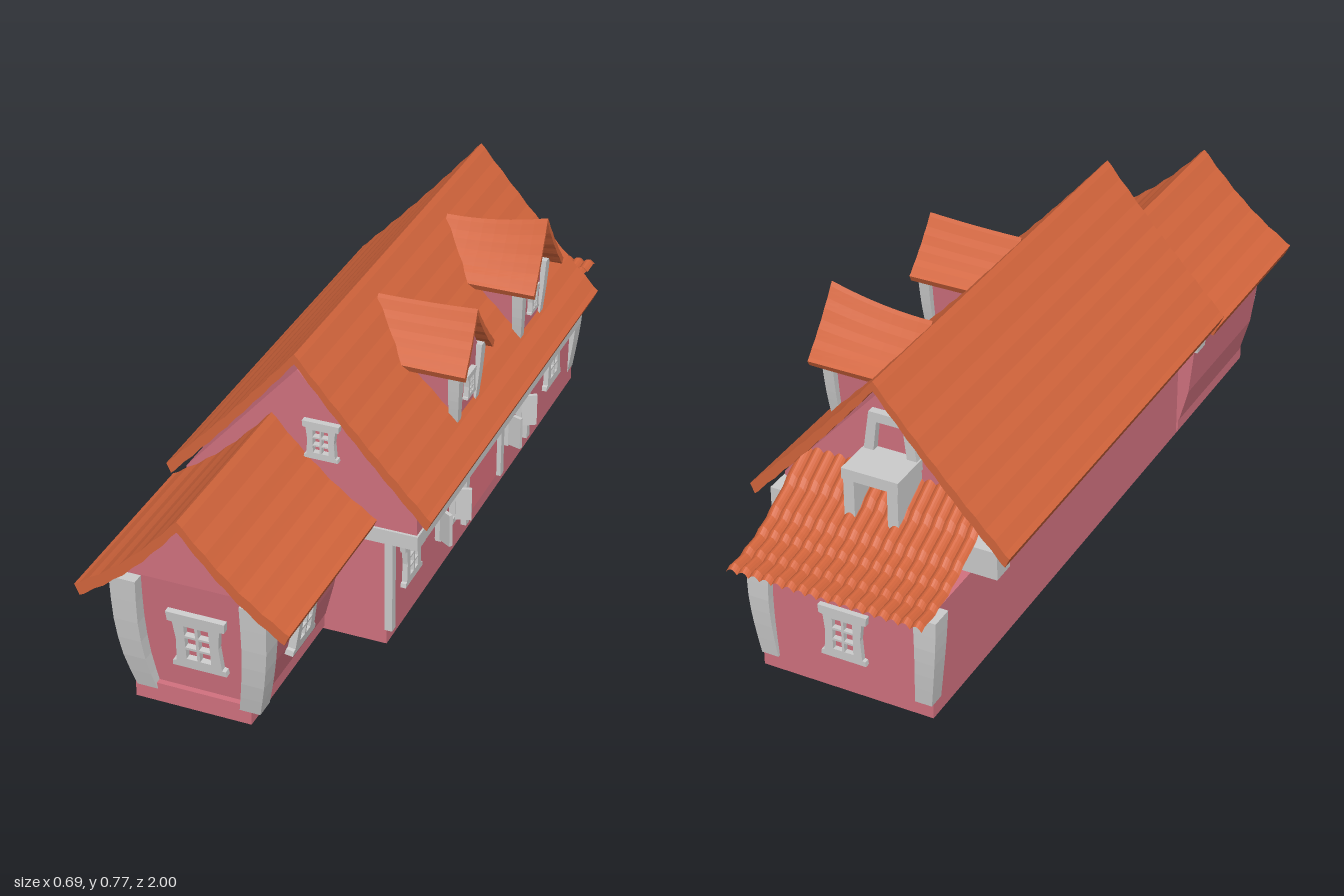
import * as THREE from 'three';

const mat = (color, extra = {}) => new THREE.MeshStandardMaterial({ color, ...extra });

export function createModel() {
  const house = new THREE.Group();
  house.name = 'house';
  const pink = mat(0xd1717f), doorPink = mat(0xe0727f), tile = mat(0xd3653c), grey = mat(0xcccccc);
  const sheet = mat(0xd3653c, { side: THREE.DoubleSide, flatShading: true });

  const add = (name, geo, material, parent = house) => {
    const m = new THREE.Mesh(geo, material);
    m.name = name;
    parent.add(m);
    return m;
  };
  // Box given by its limits
  const box = (name, x0, x1, y0, y1, z0, z1, material, parent) =>
    add(name, new THREE.BoxGeometry(x1 - x0, y1 - y0, z1 - z0)
      .translate((x0 + x1) / 2, (y0 + y1) / 2, (z0 + z1) / 2), material, parent);
  const outline = (pts) => new THREE.Shape(pts.map((p) => new THREE.Vector2(...p)));
  const prism = (pts, z0, z1, steps = 1) => new THREE.ExtrudeGeometry(outline(pts),
    { depth: z1 - z0, bevelEnabled: false, steps }).translate(0, 0, z0);
  const moveVertices = (geo, rule) => {
    const p = geo.attributes.position, v = new THREE.Vector3();
    for (let i = 0; i < p.count; i++) {
      v.fromBufferAttribute(p, i);
      rule(v);
      p.setXYZ(i, v.x, v.y, v.z);
    }
    geo.computeVertexNormals();
    return geo;
  };

  // Section of a gable roof: concave slopes with a slight wave for the tile rows
  const roofSection = (cx, ridge, eave, half, sag, thick, rows) => {
    const n = rows * 4, top = [], under = [];
    for (let i = -n; i <= n; i++) {
      const s = Math.abs(i) / n;
      const y = ridge + (eave - ridge) * s - sag * Math.sin(Math.PI * s) +
        0.07 * thick * Math.sin(s * rows * Math.PI * 2);
      top.push([cx + (i / n) * half, y]);
      under.push([cx + (i / n) * (half - thick * 0.45), y - thick]);
    }
    return [...under, ...top.reverse()];
  };

  // Post bent along a path of [x, y, z] centres, growing from size a to size b
  const bentPost = (name, path, a, b, parent) => {
    const curve = new THREE.CatmullRomCurve3(path.map((p) => new THREE.Vector3(...p)));
    const geo = new THREE.BoxGeometry(1, 1, 1, 1, 6, 1).toNonIndexed();
    moveVertices(geo, (v) => {
      const t = v.y + 0.5, w = a + (b - a) * t, c = curve.getPoint(t);
      v.set(c.x + v.x * w, c.y, c.z + v.z * w);
    });
    return add(name, geo, grey, parent);
  };

  // Window frame with waisted jambs, broad sill and lintel, and six panes
  const windowFrame = (name, w, h, x, y, z, turn = 0, tilt = 0, parent = house) => {
    const a = w / 2, b = h / 2;
    const right = [[a * 0.93, -b], [a * 0.9, -b * 0.82], [a * 0.78, -b * 0.8], [a * 0.72, 0],
      [a * 0.8, b * 0.66], [a * 0.97, b * 0.68], [a, b]];
    const shape = outline([...right, ...right.map(([px, py]) => [-px, py]).reverse()]);
    for (const sx of [-1, 1]) for (let r = 0; r < 3; r++) {
      const x0 = sx * a * 0.05, x1 = sx * a * 0.42;
      const y0 = b * (-0.66 + r * 0.44), y1 = y0 + b * 0.36;
      shape.holes.push(new THREE.Path([[x0, y0], [x1, y0], [x1, y1], [x0, y1]]
        .map((p) => new THREE.Vector2(...p))));
    }
    const m = add(name, new THREE.ExtrudeGeometry(shape, { depth: 0.022, bevelEnabled: false })
      .translate(0, 0, -0.008), grey, parent);
    m.position.set(x, y, z);
    m.rotation.set(tilt, turn, 0, 'YXZ');
  };
  const SIDE = Math.PI / 2;

  // Main house
  box('groundFloor', -0.23, 0.23, 0, 0.295, -0.9, 0.49, pink);
  add('upperFloor', prism([[-0.3, 0.33], [0.305, 0.33], [0.305, 0.383], [0, 0.72], [-0.3, 0.383]],
    -0.65, 0.485), pink);
  box('upperFloorBase', -0.23, 0.24, 0.295, 0.335, -0.65, 0.48, pink);
  add('mainRoof', prism(roofSection(0, 0.768, 0.388, 0.347, 0.008, 0.026, 7), -0.74, 0.5), tile);
  box('sideBeam', 0.225, 0.31, 0.295, 0.33, -0.71, 0.49, grey);
  box('frontBeam', -0.3, 0.31, 0.293, 0.332, 0.44, 0.492, grey);
  box('backBeam', -0.3, 0.31, 0.295, 0.37, -0.71, -0.645, grey);
  windowFrame('gableWindow', 0.095, 0.1, 0.065, 0.545, 0.487);

  // Right-hand side of the ground floor
  box('doorPanel', 0.225, 0.233, 0.04, 0.295, -0.275, -0.03, doorPink);
  for (const z of [0.48, -0.025, -0.283, -0.49]) box('sidePost', 0.225, 0.245, 0.04, 0.297, z - 0.011, z + 0.011, grey);
  windowFrame('sideWindow', 0.12, 0.125, 0.23, 0.172, 0.345, SIDE);
  windowFrame('sideWindow', 0.13, 0.14, 0.23, 0.17, -0.7, SIDE);
  for (const [z, s] of [[0.115, 1], [-0.38, -1]]) {
    const g = new THREE.Group();
    g.name = 'shutteredWindow';
    house.add(g);
    for (const y of [0.112, 0.195]) box('windowRail', 0.225, 0.246, y - 0.008, y + 0.008, z - 0.055, z + 0.055, grey, g);
    for (const d of [-1, 1]) {
      box('windowJamb', 0.225, 0.246, 0.11, 0.2, z + d * 0.05 - 0.006, z + d * 0.05 + 0.006, grey, g);
      const shutter = box('shutter', 0, 0.043, -0.046, 0.046, -0.005, 0.005, grey, g);
      shutter.position.set(0.243, 0.156, z + d * 0.05);
      shutter.rotation.y = -d * (d === s ? 0.55 : 0.3);
    }
  }

  // Back corners, window and the lean-to roof of barrel tiles
  for (const s of [-1, 1]) bentPost('backCornerPost',
    [[s * 0.208, 0.04, -0.885], [s * 0.217, 0.13, -0.892], [s * 0.222, 0.21, -0.894], [s * 0.222, 0.292, -0.89]], 0.045, 0.06);
  windowFrame('backWindow', 0.13, 0.14, 0, 0.17, -0.9, Math.PI);
  const slope = new THREE.CatmullRomCurve3([[0.47, -0.65], [0.41, -0.74], [0.36, -0.84], [0.338, -0.92], [0.329, -1]]
    .map(([y, z]) => new THREE.Vector3(0, y, z)));
  add('leanToRoof', moveVertices(new THREE.PlaneGeometry(0.515, 1, 102, 20), (v) => {
    const t = 0.5 - v.y, c = slope.getPoint(t);
    const ripple = 0.012 * Math.abs(Math.sin((v.x / 0.515 + 0.5) * Math.PI * 17));
    v.set(-v.x - 0.003, c.y + ripple - 0.004 + 0.008 * ((t * 5) % 1), c.z);
  }), sheet);

  // Framed opening standing out of the back gable
  const porch = new THREE.Group();
  porch.name = 'backOpening';
  house.add(porch);
  for (const s of [-1, 1]) box('openingPost', s * 0.058 - 0.014, s * 0.058 + 0.014, 0.39, 0.51, -0.765, -0.65, grey, porch);
  box('openingLintel', -0.075, 0.075, 0.5, 0.53, -0.768, -0.65, grey, porch);
  const ring = outline([[-0.075, 0.5], [0.075, 0.5], [0.055, 0.635], [-0.055, 0.635]]);
  ring.holes.push(new THREE.Path([[-0.048, 0.5001], [0.048, 0.5001], [0.035, 0.61], [-0.035, 0.61]]
    .map((p) => new THREE.Vector2(...p))));
  add('openingFrame', new THREE.ExtrudeGeometry(ring, { depth: 0.025, bevelEnabled: false })
    .translate(0, 0, -0.67), grey, porch);

  // Front wing, its walls flaring towards the top
  box('wingBase', -0.235, 0.065, 0.008, 0.06, 0.48, 0.917, pink);
  const wall = [[0.068, 0.045], [0.092, 0.14], [0.108, 0.22], [0.117, 0.3], [0.12, 0.375], [-0.07, 0.56],
    [-0.28, 0.375], [-0.275, 0.27], [-0.262, 0.14], [-0.238, 0.045]];
  add('wingWalls', moveVertices(prism(wall, 0.48, 0.9), (v) => {
    if (v.z > 0.6) v.z += 0.035 * Math.min(1, (v.y - 0.045) / 0.33);
  }), pink);
  add('wingRoof', prism(roofSection(-0.065, 0.592, 0.355, 0.27, 0.02, 0.028, 5), 0.49, 1), tile);
  for (const s of [-1, 1]) bentPost('wingPost', [[-0.07 + s * 0.133, 0.045, 0.893],
    [-0.07 + s * 0.152, 0.14, 0.912], [-0.068 + s * 0.163, 0.25, 0.925], [-0.066 + s * 0.164, 0.373, 0.932]], 0.053, 0.067);
  windowFrame('wingFrontWindow', 0.15, 0.16, -0.06, 0.216, 0.92, 0, 0.1);
  windowFrame('wingSideWindow', 0.14, 0.16, 0.107, 0.2, 0.71, SIDE, 0.15);

  // Dormers on the right-hand slope: centre z, roof half width, ridge, front lift, front x
  for (const [z, half, ridge, lift, front] of [[0.083, 0.103, 0.73, 0.01, 0.3], [-0.383, 0.115, 0.73, 0.04, 0.315]]) {
    const g = new THREE.Group();
    g.name = 'dormer';
    g.position.z = z;
    house.add(g);
    const w = half - 0.03, peak = ridge - 0.025 + lift * 0.5;
    add('dormerWalls', prism([[-w + 0.012, 0.455], [w - 0.012, 0.455], [w, 0.6], [0, peak], [-w, 0.6]],
      0.05, 0.275).rotateY(SIDE), pink, g);
    const roof = prism(roofSection(0, ridge, 0.603, half, 0.008, 0.017, 4), 0.04, front, 8);
    moveVertices(roof, (v) => {
      const t = (v.z - 0.04) / (front - 0.04), up = 1 - Math.abs(v.x) / half;
      v.y += lift * t * t * up;
      v.z += 0.008 * t * (1 - up);
    });
    add('dormerRoof', roof.rotateY(SIDE), tile, g);
    for (const s of [-1, 1]) bentPost('dormerPost',
      [[0.268, 0.45, s * (w - 0.012)], [0.272, 0.52, s * (w - 0.003)], [0.275, 0.605, s * (w + 0.004)]], 0.024, 0.03, g);
    windowFrame('dormerWindow', 0.062, 0.068, 0.275, 0.53, 0, SIDE, 0, g);
  }
  return house;
}
